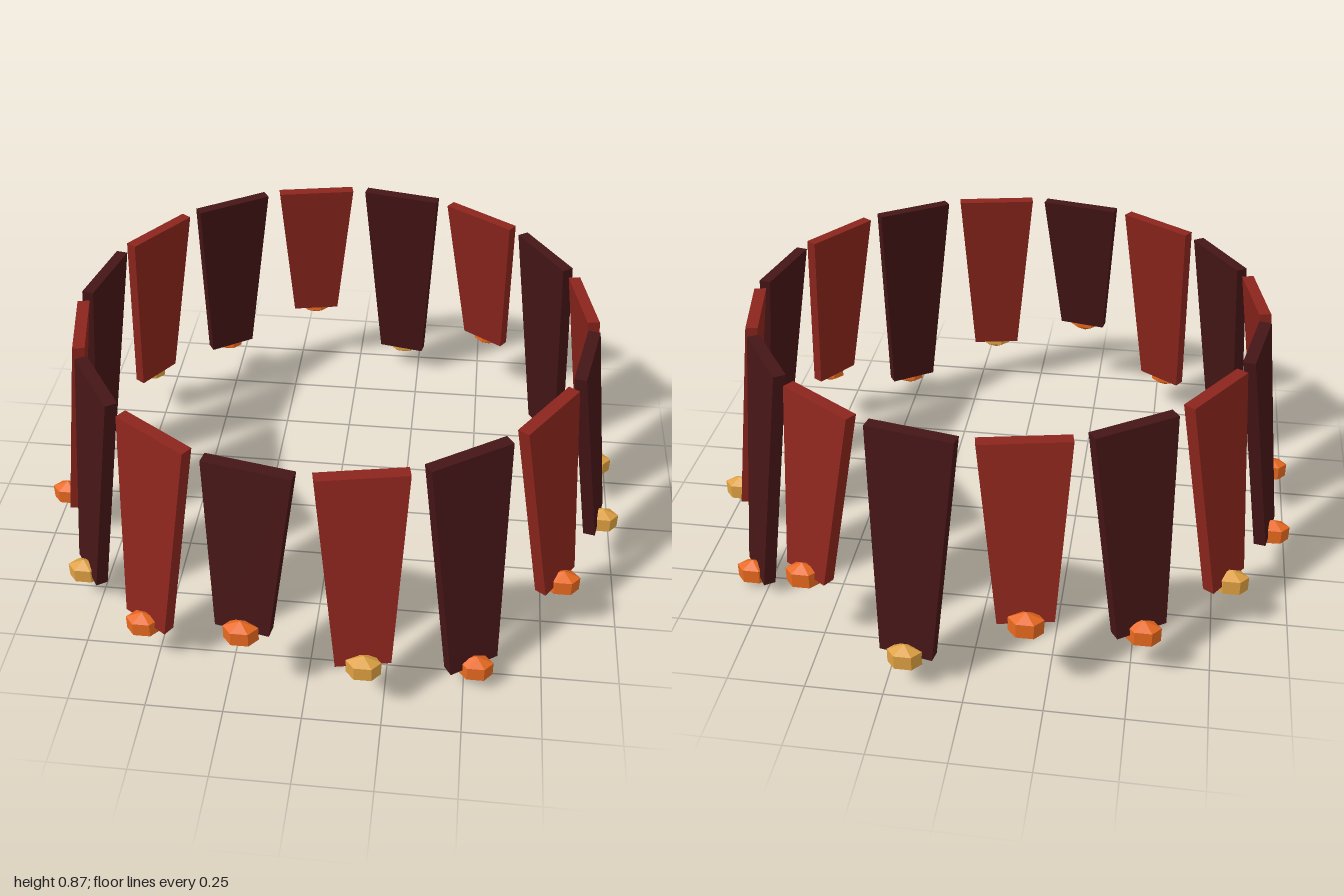
import * as THREE from 'three';

const TOP_Y = 0.87;
const THICKNESS = 0.04;

// Height of each panel's lower end, counted from the front towards +x.
const ENDS = [0.2, 0.08, 0.225, 0.2, 0.14, 0.05, 0.28, 0.115, 0.29, 0.175, 0.19, 0.145, 0.15, 0.11, 0.16, 0.31];
const GOLD = [0, 3, 4, 7, 10, 13];

const material = (color) => new THREE.MeshStandardMaterial({ color, flatShading: true });

// Tapered slat that leans outward from its top edge to its lower end.
function panelGeometry(endY) {
  const geometry = new THREE.BoxGeometry(1, 1, THICKNESS);
  const p = geometry.attributes.position;
  for (let i = 0; i < p.count; i++) {
    const t = p.getY(i) + 0.5;
    p.setXYZ(
      i,
      p.getX(i) * THREE.MathUtils.lerp(0.175, 0.28, t),
      THREE.MathUtils.lerp(endY, TOP_Y, t),
      p.getZ(i) + THREE.MathUtils.lerp(0.935, 0.84, t)
    );
  }
  geometry.computeVertexNormals();
  return geometry;
}

export function createModel() {
  const model = new THREE.Group();
  model.name = 'panelRing';

  const red = material(0x8b251c);
  const maroon = material(0x451516);
  const orange = material(0xe8691f);
  const gold = material(0xdea042);

  // Six-sided gem: upright band with a pointed cap above and below.
  const gemGeometry = new THREE.SphereGeometry(1, 6, 3);
  gemGeometry.scale(0.0635, 0.05, 0.042);

  ENDS.forEach((endY, i) => {
    const angle = ((i + 0.5) / ENDS.length) * Math.PI * 2;

    const panel = new THREE.Mesh(panelGeometry(endY), i % 2 ? maroon : red);
    panel.name = 'panel';
    panel.rotation.y = angle;

    // All gems keep the same orientation around the ring.
    const gem = new THREE.Mesh(gemGeometry, GOLD.includes(i) ? gold : orange);
    gem.name = 'gem';
    gem.position.set(Math.sin(angle) * 0.964, endY, Math.cos(angle) * 0.964);

    model.add(panel, gem);
  });

  return model;
}
